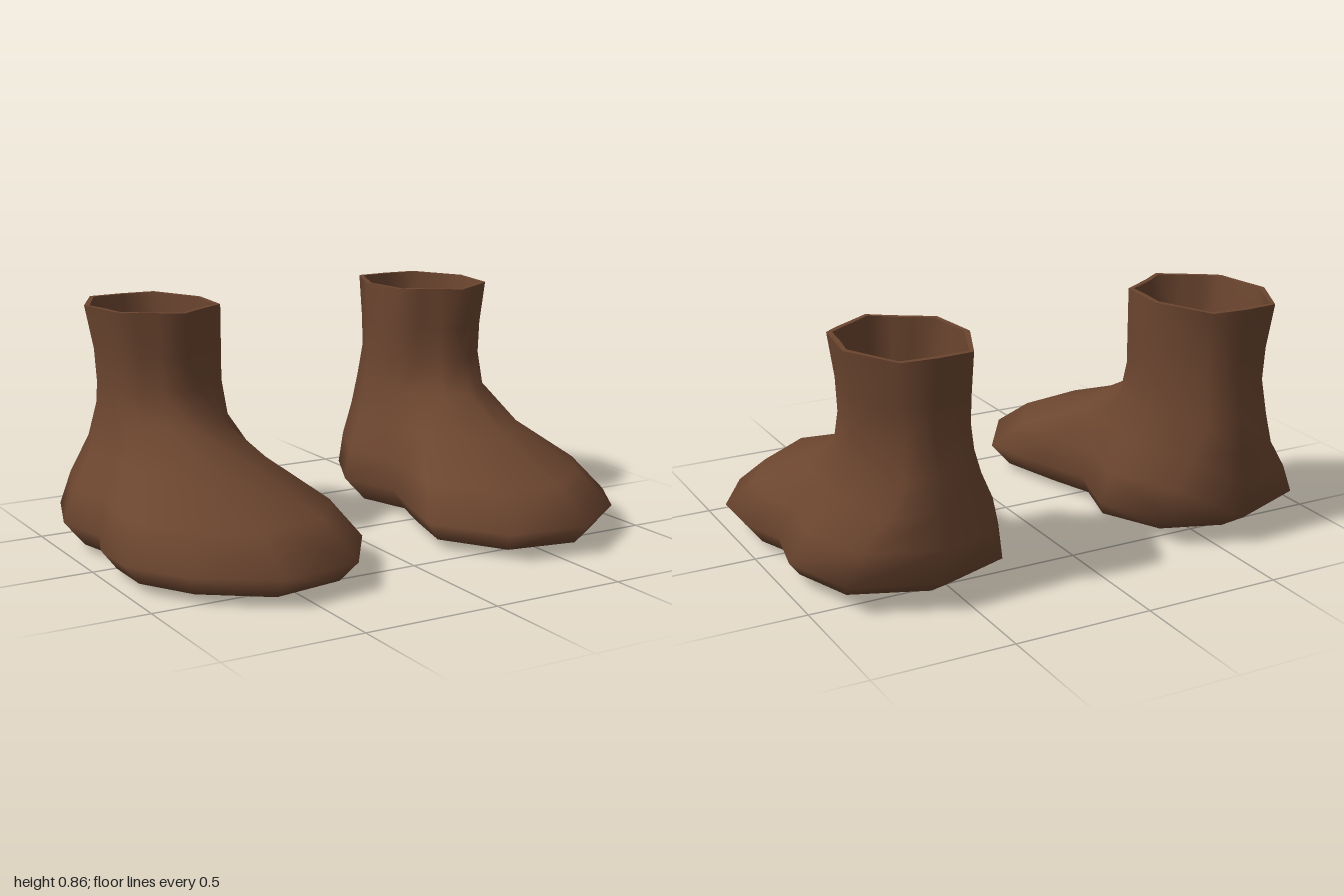
import * as THREE from 'three';

// Outline of the foot at its widest, as [x, z], from the heel round the inner side to the toe and back
const FOOT = [[0.59, -0.695], [0.335, -0.6], [0.21, -0.335], [0.28, -0.09], [0.215, 0.11], [0.14, 0.38], [0.31, 0.64],
  [0.615, 0.69], [0.87, 0.51], [1, 0.295], [1, 0.085], [0.94, -0.08], [0.985, -0.3], [0.895, -0.57]];
// Matching outline of the collar
const COLLAR = [[0.59, -0.655], [0.46, -0.645], [0.365, -0.43], [0.375, -0.32], [0.385, -0.22], [0.45, -0.18], [0.52, -0.135],
  [0.59, -0.083], [0.67, -0.135], [0.74, -0.18], [0.79, -0.22], [0.805, -0.32], [0.825, -0.44], [0.72, -0.645]];
const N = FOOT.length;

// Ring between foot (t = 0) and collar (t = 1); kx narrows the outer side, kz pulls in the heel
function ring(y, t, kx = 1, kz = 1) {
  return FOOT.map(([fx, fz], i) => {
    let x = fx + (COLLAR[i][0] - fx) * t;
    let z = fz + (COLLAR[i][1] - fz) * t;
    if (x > 0.6) x = 0.6 + (x - 0.6) * kx;
    if (z < -0.3) z = -0.3 + (z + 0.3) * kz;
    return [x, y, z];
  });
}

// Sole edge, tucked in under the widest outline
const soleRing = FOOT.map(([x, z]) => [0.58 + (x - 0.58) * 0.86, 0.025, 0.03 + (z - 0.03) * (z > 0 ? 0.9 : 0.83)]);

// Moves a ring towards its middle for the inside of the wall
function inset(r, d, dy) {
  const cx = r.reduce((s, p) => s + p[0], 0) / N;
  const cz = r.reduce((s, p) => s + p[2], 0) / N;
  return r.map(([x, y, z]) => {
    const k = 1 - d / Math.hypot(x - cx, z - cz);
    return [cx + (x - cx) * k, y + dy, cz + (z - cz) * k];
  });
}

// Skins a stack of rings, with optional fans to a start and an end point
function loft(rings, side, start, end) {
  const pos = rings.flat();
  const index = [];
  const tri = (a, b, c) => (side > 0 ? index.push(a, b, c) : index.push(a, c, b));
  for (let r = 0; r < rings.length - 1; r++) {
    for (let i = 0; i < N; i++) {
      const j = (i + 1) % N;
      const a = r * N + i, b = r * N + j, c = a + N, d = b + N;
      tri(a, b, d);
      tri(a, d, c);
    }
  }
  if (start) {
    const c = pos.push(start) - 1;
    for (let i = 0; i < N; i++) tri(c, (i + 1) % N, i);
  }
  if (end) {
    const c = pos.push(end) - 1;
    const o = (rings.length - 1) * N;
    for (let i = 0; i < N; i++) tri(c, o + i, o + (i + 1) % N);
  }
  const geo = new THREE.BufferGeometry();
  geo.setAttribute('position', new THREE.Float32BufferAttribute(pos.flatMap(([x, y, z]) => [x * side, y, z]), 3));
  geo.setIndex(index);
  geo.computeVertexNormals();
  return geo;
}

export function createModel() {
  const leather = new THREE.MeshStandardMaterial({ color: 0x6b452f });
  leather.name = 'brown leather';

  const body = [
    ring(0.1, 0),
    ring(0.215, 0.21, 0.94),
    ring(0.335, 0.63, 0.84),
    ring(0.455, 0.93, 0.83),
    ring(0.58, 1, 0.84, 0.92),
    ring(0.7, 1, 0.87, 0.94),
    ring(0.86, 1),
  ];
  const top = body[body.length - 1];
  const inner = body.map((r, i) => inset(r, i > 3 ? 0.02 : 0.04, i === body.length - 1 ? 0 : -0.01)).reverse();
  const floor = inset(soleRing, 0.04, 0.02);

  const model = new THREE.Group();
  model.name = 'boots';
  for (const side of [1, -1]) {
    const boot = new THREE.Group();
    boot.name = side > 0 ? 'leftBoot' : 'rightBoot';
    const add = (name, geo) => {
      const mesh = new THREE.Mesh(geo, leather);
      mesh.name = name;
      boot.add(mesh);
    };
    add('outerShell', loft([soleRing, ...body], side, [0.59, 0, 0.03]));
    add('collarRim', loft([top, inner[0]], side));
    add('lining', loft([...inner, floor], side, null, [0.59, 0.04, 0.03]));
    model.add(boot);
  }
  return model;
}
